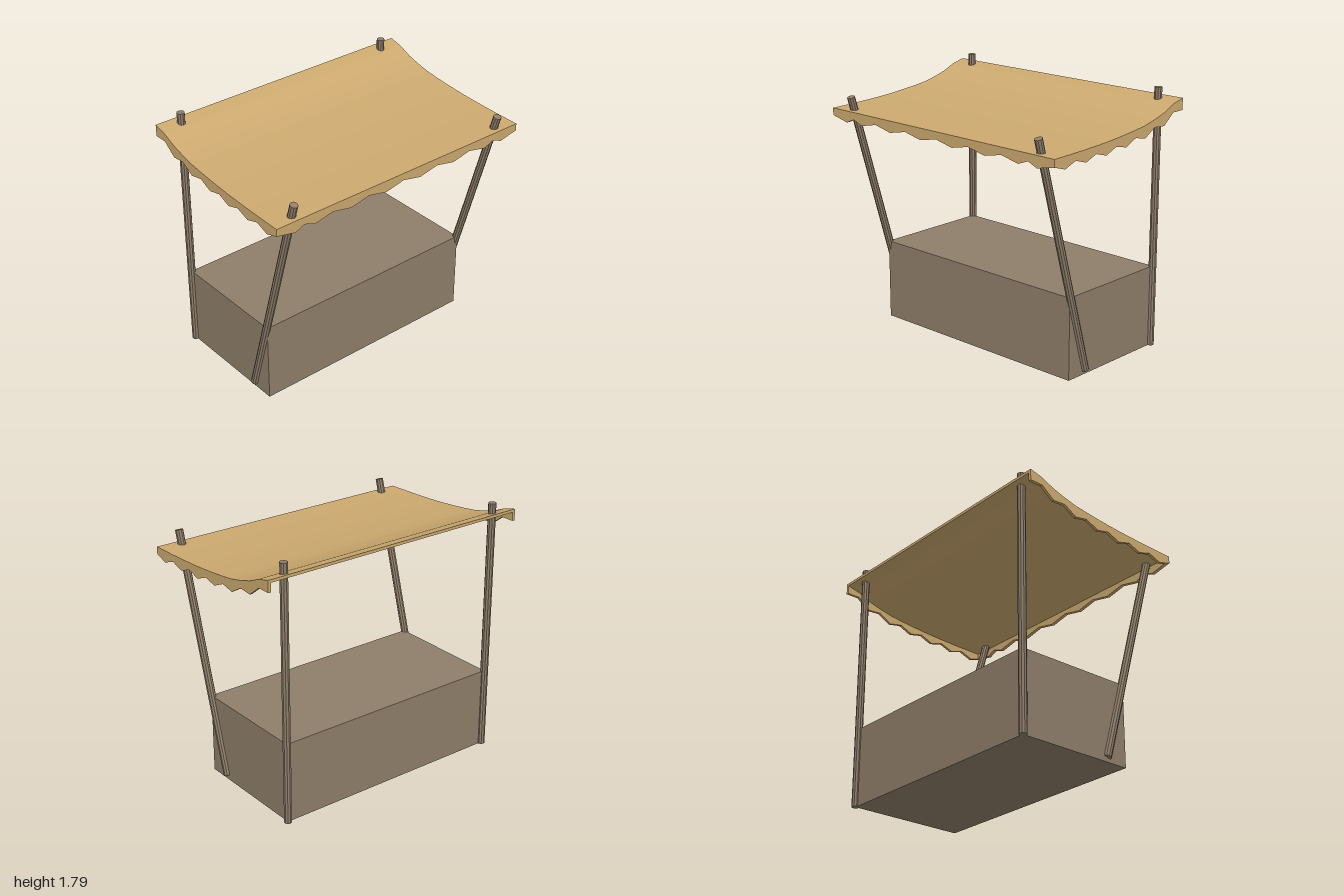
import * as THREE from 'three';

export function createModel() {
  const wood = new THREE.MeshStandardMaterial({ color: 0x8f7e6a });
  wood.name = 'weathered wood';
  const cloth = new THREE.MeshStandardMaterial({ color: 0xcca96f });
  cloth.name = 'tan cloth';

  const model = new THREE.Group();
  model.name = 'marketStall';
  const add = (name, geometry, material) => {
    const mesh = new THREE.Mesh(geometry, material);
    mesh.name = name;
    model.add(mesh);
    return mesh;
  };

  // Counter block
  add('counter', new THREE.BoxGeometry(1.69, 0.565, 0.85), wood).position.set(0, 0.2825, -0.14);

  // Round pole between two points
  const pole = (name, from, to) => {
    const dir = to.clone().sub(from);
    const geo = new THREE.CylinderGeometry(0.027, 0.027, dir.length(), 10).toNonIndexed();
    geo.computeVertexNormals();
    const mesh = add(name, geo, wood);
    mesh.position.copy(from).add(to).multiplyScalar(0.5);
    mesh.quaternion.setFromUnitVectors(new THREE.Vector3(0, 1, 0), dir.normalize());
  };
  for (const [side, x] of [['left', 0.845], ['right', -0.845]]) {
    pole(side + 'BackPost', new THREE.Vector3(x, 0, -0.565), new THREE.Vector3(x, 1.79, -0.565));
    pole(side + 'FrontPole', new THREE.Vector3(x, 0.031, 0.125), new THREE.Vector3(x, 1.653, 0.593));
  }

  // Canopy: heights of the sagging top and the zigzag hem, front to back
  const tops = [1.56, 1.562, 1.564, 1.567, 1.571, 1.576, 1.583, 1.592, 1.602, 1.615, 1.637, 1.665, 1.707, 1.73];
  const hems = [1.51, 1.48, 1.515, 1.485, 1.52, 1.492, 1.53, 1.508, 1.55, 1.53, 1.585, 1.577, 1.65, 1.65];
  const z = (i) => 0.623 - i * (1.246 / 13);
  const line = (ys, drop = 0) => ys.map((y, i) => new THREE.Vector2(z(i), y - drop));

  // Extrude a (z, y) outline along x, centred on x = 0
  const extrudeAcross = (points, width) => {
    const geo = new THREE.ExtrudeGeometry(new THREE.Shape(points), { depth: width, bevelEnabled: false });
    return geo.translate(0, 0, -width / 2).rotateY(-Math.PI / 2);
  };
  add('canopySheet', extrudeAcross([...line(tops), ...line(tops, 0.02).reverse()], 2), cloth);

  // Side valances
  const sideOutline = [...line(tops, 0.004), ...line(hems).reverse()];
  for (const [name, x] of [['leftValance', 0.99], ['rightValance', -0.99]]) {
    add(name, extrudeAcross(sideOutline, 0.02), cloth).position.x = x;
  }

  // Front valance with a mirrored zigzag hem
  const half = [[1, 1.51], [0.86, 1.48], [0.79, 1.51], [0.71, 1.48], [0.57, 1.51],
    [0.43, 1.48], [0.285, 1.51], [0.143, 1.48]];
  const front = [
    new THREE.Vector2(1, 1.556), new THREE.Vector2(-1, 1.556),
    ...half.map(([x, y]) => new THREE.Vector2(-x, y)),
    new THREE.Vector2(0, 1.51),
    ...half.map(([x, y]) => new THREE.Vector2(x, y)).reverse(),
  ];
  const frontGeo = new THREE.ExtrudeGeometry(new THREE.Shape(front), { depth: 0.025, bevelEnabled: false });
  add('frontValance', frontGeo, cloth).position.z = 0.598;

  return model;
}
